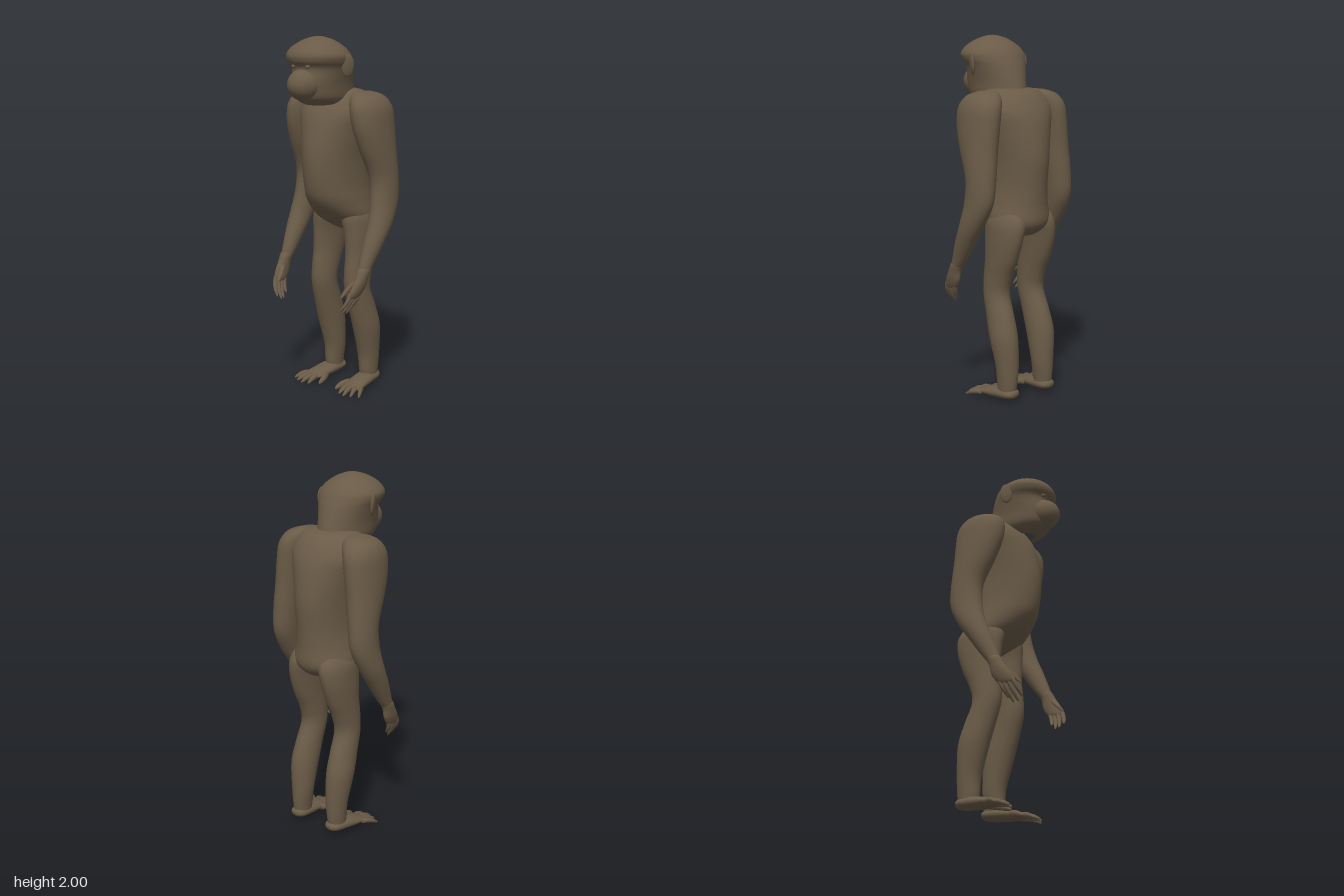
import * as THREE from 'three';

const fur = new THREE.MeshStandardMaterial({ color: 0x6a5b47 });
fur.name = 'brownFur';

// Smooth skin through elliptical sections [x, y, z, radiusX, radiusV].
// Sections lie flat (ordered upwards) or upright (ordered towards the back).
function loft(name, rings, { upright = false, side = 1, steps = 5, seg = 28 } = {}) {
  const centres = new THREE.CatmullRomCurve3(
    rings.map(r => new THREE.Vector3(r[0] * side, r[1], r[2])), false, 'catmullrom');
  const radii = new THREE.CatmullRomCurve3(
    rings.map(r => new THREE.Vector3(r[3], r[4], 0)), false, 'catmullrom');
  const rows = (rings.length - 1) * steps;
  const pos = [], idx = [];
  for (let i = 0; i <= rows; i++) {
    const c = centres.getPoint(i / rows), r = radii.getPoint(i / rows);
    const a = Math.max(r.x, 0.001), b = Math.max(r.y, 0.001);
    for (let j = 0; j < seg; j++) {
      const t = j / seg * Math.PI * 2, u = a * Math.cos(t), v = b * Math.sin(t);
      pos.push(c.x + u, c.y + (upright ? v : 0), c.z + (upright ? 0 : v));
      if (i < rows) {
        const p = i * seg + j, q = i * seg + (j + 1) % seg;
        idx.push(p, p + seg, q, q, p + seg, q + seg);
      }
    }
  }
  const g = new THREE.BufferGeometry();
  g.setAttribute('position', new THREE.Float32BufferAttribute(pos, 3));
  g.setIndex(idx);
  g.computeVertexNormals();
  const m = new THREE.Mesh(g, fur);
  m.name = name;
  return m;
}

// Section given by its front and back edges on the centre line
const slice = (y, front, back, rx) => [0, y, (front + back) / 2, rx, (front - back) / 2];

function ellipsoid(name, p, r) {
  const m = new THREE.Mesh(new THREE.SphereGeometry(1, 28, 20), fur);
  m.name = name;
  m.position.set(...p);
  m.scale.set(...r);
  return m;
}

// Tapering finger or toe from tip to base with a slight bow
function digit(name, tip, base, r, bow, opts) {
  const at = (t, k) => [
    tip[0] + (base[0] - tip[0]) * t + bow[0] * Math.sin(t * Math.PI),
    tip[1] + (base[1] - tip[1]) * t + bow[1] * Math.sin(t * Math.PI),
    tip[2] + (base[2] - tip[2]) * t, r * k, r * k];
  return loft(name, [at(0, 0.1), at(0.08, 0.5), at(0.35, 0.9), at(0.7, 1), at(1, 0.9)],
    { seg: 12, steps: 3, ...opts });
}

function createHead() {
  const head = new THREE.Group();
  head.name = 'head';
  head.add(loft('skull', [
    slice(1.635, 0.15, -0.1, 0.06), slice(1.645, 0.195, -0.14, 0.1),
    slice(1.68, 0.245, -0.145, 0.125), slice(1.75, 0.262, -0.13, 0.135),
    slice(1.83, 0.244, -0.105, 0.155), slice(1.87, 0.268, -0.088, 0.172),
    slice(1.905, 0.272, -0.07, 0.174), slice(1.945, 0.245, -0.035, 0.14),
    slice(1.98, 0.185, 0.02, 0.082), slice(1.997, 0.13, 0.075, 0.03),
    slice(2.0, 0.102, 0.1, 0.002)], { seg: 40 }));
  head.add(ellipsoid('muzzle', [0, 1.748, 0.205], [0.092, 0.088, 0.105]));
  for (const s of [1, -1]) {
    head.add(ellipsoid('eye', [s * 0.05, 1.845, 0.24], [0.013, 0.012, 0.012]));
    const ear = ellipsoid('ear', [s * 0.172, 1.848, 0.062], [0.012, 0.06, 0.036]);
    ear.rotation.set(0, -s * 0.45, -s * 0.1);
    head.add(ear);
  }
  return head;
}

function createArm(side) {
  const arm = new THREE.Group();
  arm.name = side > 0 ? 'leftArm' : 'rightArm';
  arm.add(loft('armLimb', [
    [0.286, 0.735, 0.066, 0.03, 0.034], [0.286, 0.79, 0.035, 0.038, 0.048],
    [0.288, 0.9, -0.025, 0.054, 0.066], [0.288, 1.0, -0.08, 0.062, 0.08],
    [0.278, 1.12, -0.125, 0.066, 0.095], [0.268, 1.25, -0.13, 0.072, 0.097],
    [0.253, 1.4, -0.095, 0.083, 0.126], [0.24, 1.52, -0.075, 0.09, 0.146],
    [0.225, 1.62, -0.07, 0.093, 0.145], [0.2, 1.68, -0.07, 0.082, 0.11],
    [0.175, 1.705, -0.07, 0.04, 0.06], [0.17, 1.71, -0.07, 0.002, 0.002]], { side }));

  const hand = new THREE.Group();
  hand.name = 'hand';
  hand.add(loft('palm', [
    [0.274, 0.605, 0.13, 0.004, 0.02], [0.278, 0.625, 0.122, 0.017, 0.047],
    [0.285, 0.67, 0.098, 0.025, 0.054], [0.288, 0.72, 0.077, 0.03, 0.043],
    [0.287, 0.765, 0.055, 0.033, 0.04], [0.287, 0.785, 0.045, 0.01, 0.02]], { side }));
  const length = [0.545, 0.518, 0.52, 0.54];
  for (let i = 0; i < 4; i++)
    hand.add(digit('finger', [0.226 + 0.006 * Math.abs(i - 2), length[i], 0.118 + 0.026 * i],
      [0.279, 0.645, 0.084 + 0.025 * i], 0.013, [0.012, 0], { side }));
  hand.add(digit('thumb', [0.238, 0.615, 0.192], [0.272, 0.705, 0.11], 0.015, [-0.006, 0], { side }));
  arm.add(hand);
  return arm;
}

function createLeg(side) {
  const leg = new THREE.Group();
  leg.name = side > 0 ? 'leftLeg' : 'rightLeg';
  leg.add(loft('legLimb', [
    [0.13, 0.05, -0.183, 0.045, 0.055], [0.13, 0.1, -0.183, 0.05, 0.063],
    [0.128, 0.2, -0.182, 0.061, 0.068], [0.132, 0.36, -0.157, 0.073, 0.088],
    [0.128, 0.48, -0.122, 0.069, 0.09], [0.123, 0.6, -0.084, 0.067, 0.083],
    [0.121, 0.7, -0.095, 0.068, 0.094], [0.12, 0.8, -0.122, 0.07, 0.113],
    [0.115, 0.92, -0.138, 0.075, 0.136], [0.1, 1.02, -0.135, 0.08, 0.14],
    [0.09, 1.1, -0.12, 0.04, 0.08]], { side }));

  const foot = new THREE.Group();
  foot.name = 'foot';
  const upright = { upright: true, side };
  foot.add(loft('sole', [
    [0.152, 0.026, 0.006, 0.03, 0.006], [0.15, 0.033, -0.015, 0.058, 0.016],
    [0.142, 0.042, -0.08, 0.06, 0.029], [0.135, 0.05, -0.15, 0.057, 0.034],
    [0.13, 0.054, -0.22, 0.05, 0.029], [0.13, 0.056, -0.248, 0.03, 0.018],
    [0.13, 0.056, -0.256, 0.002, 0.002]], upright));
  const reach = [0.07, 0.082, 0.07, 0.045];
  for (let i = 0; i < 4; i++)
    foot.add(digit('toe', [0.118 + 0.042 * i, 0.008, reach[i]],
      [0.12 + 0.024 * i, 0.03, -0.03 - 0.006 * i], 0.015, [0, 0.01], upright));
  foot.add(digit('bigToe', [0.062, 0.012, 0.035], [0.1, 0.036, -0.08], 0.019, [-0.008, 0.006], upright));
  leg.add(foot);
  return leg;
}

export function createModel() {
  const ape = new THREE.Group();
  ape.name = 'standingApe';
  ape.add(loft('torso', [
    slice(0.915, -0.12, -0.16, 0.01), slice(0.94, -0.06, -0.24, 0.08),
    slice(1.0, 0.03, -0.292, 0.17), slice(1.1, 0.128, -0.295, 0.166),
    slice(1.2, 0.165, -0.3, 0.158), slice(1.35, 0.178, -0.31, 0.167),
    slice(1.5, 0.155, -0.29, 0.2), slice(1.6, 0.12, -0.258, 0.23),
    slice(1.68, 0.07, -0.205, 0.2), slice(1.715, 0.03, -0.15, 0.13),
    slice(1.725, -0.04, -0.05, 0.002)], { seg: 40 }));
  ape.add(createHead());
  for (const side of [1, -1]) ape.add(createArm(side), createLeg(side));
  return ape;
}
